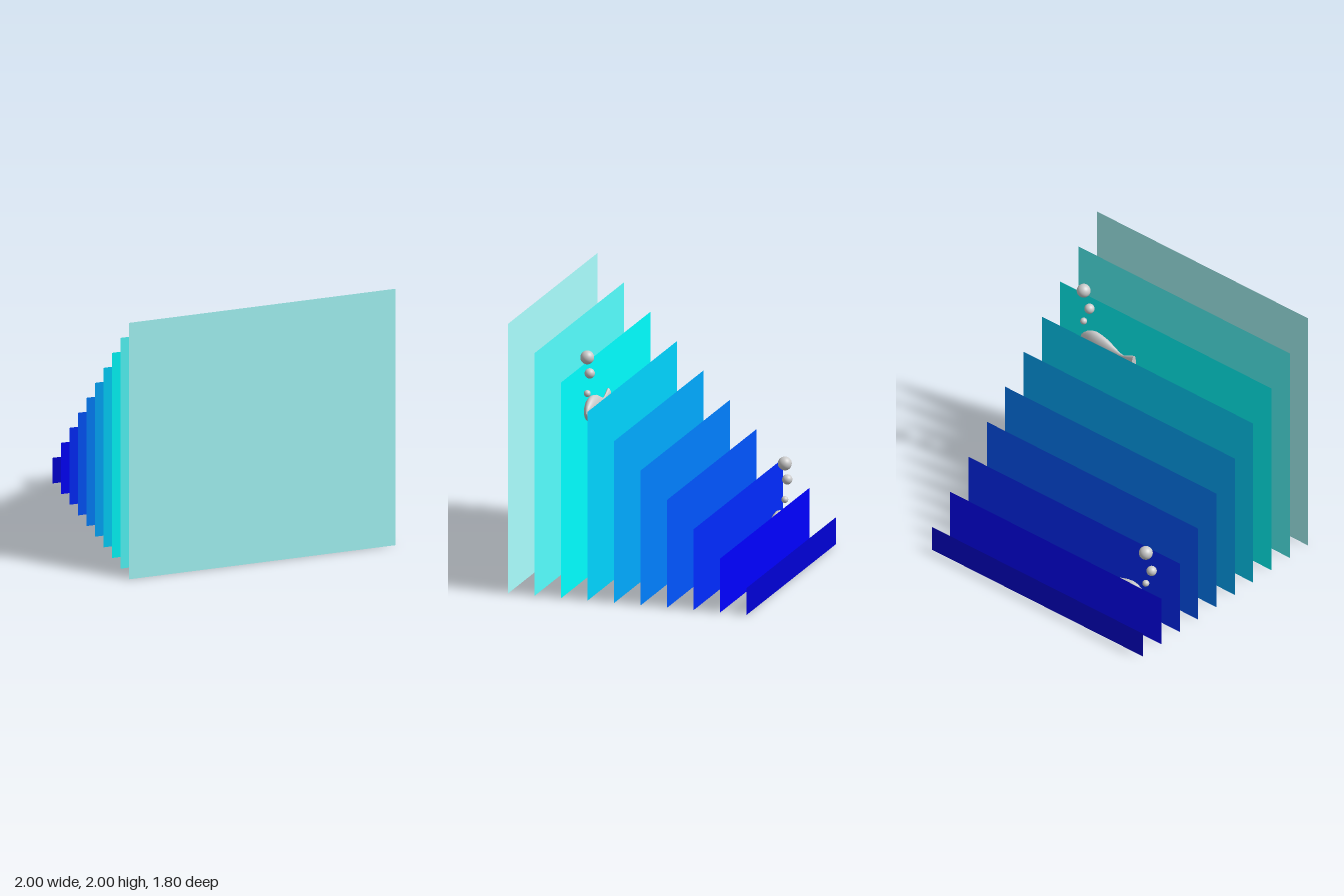
import * as THREE from 'three';

const grey = new THREE.MeshStandardMaterial({ color: 0xcccccc });

// Half-thickness of the fish at each distance behind the nose: [distance, half z, half y]
const FISH = [
  [0, 0, 0], [0.008, 0.013, 0.026], [0.025, 0.024, 0.048], [0.055, 0.036, 0.072],
  [0.095, 0.046, 0.092], [0.135, 0.05, 0.1], [0.18, 0.047, 0.094], [0.23, 0.041, 0.082],
  [0.28, 0.032, 0.062], [0.33, 0.02, 0.04], [0.37, 0.011, 0.024], [0.4, 0.008, 0.02],
  [0.44, 0.013, 0.035], [0.5, 0.022, 0.062],
];

// Flattened body with a pinched, flared tail; nose toward +x, centred on its length
function fishGeometry() {
  const sides = 32;
  const geo = new THREE.LatheGeometry(FISH.map(([d]) => new THREE.Vector2(1, d)), sides);
  const p = geo.attributes.position;
  for (let i = 0; i < p.count; i++) {
    const [d, hz, hy] = FISH[i % FISH.length];
    p.setXYZ(i, p.getX(i) * hy, d - 0.25, p.getZ(i) * hz);
  }
  geo.rotateZ(Math.PI / 2);
  geo.computeVertexNormals();
  return geo;
}

function fishWithBubbles(name, x, y, z, facing) {
  const group = new THREE.Group();
  group.name = name;
  const body = new THREE.Mesh(fishGeometry(), grey);
  body.name = 'fishBody';
  // Flat end of the tail
  const tailEnd = new THREE.Mesh(new THREE.CircleGeometry(1, 32), grey);
  tailEnd.name = 'tailEnd';
  tailEnd.scale.set(0.022, 0.062, 1);
  tailEnd.rotation.y = -Math.PI / 2;
  tailEnd.position.x = -0.25;
  body.add(tailEnd);
  if (facing < 0) body.rotation.y = Math.PI;
  group.add(body);
  // Rising bubbles: [x, y, radius]
  for (const [bx, by, r] of [[0, 0.145, 0.025], [-0.055, 0.28, 0.037], [0, 0.413, 0.05]]) {
    const bubble = new THREE.Mesh(new THREE.SphereGeometry(r, 32, 20), grey);
    bubble.name = 'bubble';
    bubble.position.set(bx + facing * 0.225 + (facing < 0 ? -0.025 : 0), by, 0);
    group.add(bubble);
  }
  group.position.set(x, y, z);
  return group;
}

export function createModel() {
  const model = new THREE.Group();
  model.name = 'oceanLayers';

  // Ten water sheets, lower and deeper blue toward the back
  for (let i = 0; i < 10; i++) {
    const h = 2 - 0.2 * i;
    const color = new THREE.Color().setRGB(
      Math.max(0, (2 - i) / 3),
      THREE.MathUtils.clamp((8 - i) / 6, 0, 1),
      i === 9 ? 5 / 6 : 1,
      THREE.SRGBColorSpace,
    );
    const sheet = new THREE.Mesh(
      new THREE.PlaneGeometry(2, h),
      new THREE.MeshStandardMaterial({ color, side: THREE.DoubleSide }),
    );
    sheet.name = `waterLayer${i + 1}`;
    sheet.position.set(0, h / 2, 0.9 - 0.2 * i);
    model.add(sheet);
  }

  // Two fish swimming between the sheets
  model.add(fishWithBubbles('upperFish', 0.47, 1.302, 0.405, 1));
  model.add(fishWithBubbles('lowerFish', -0.51, 0.222, -0.595, -1));
  return model;
}
